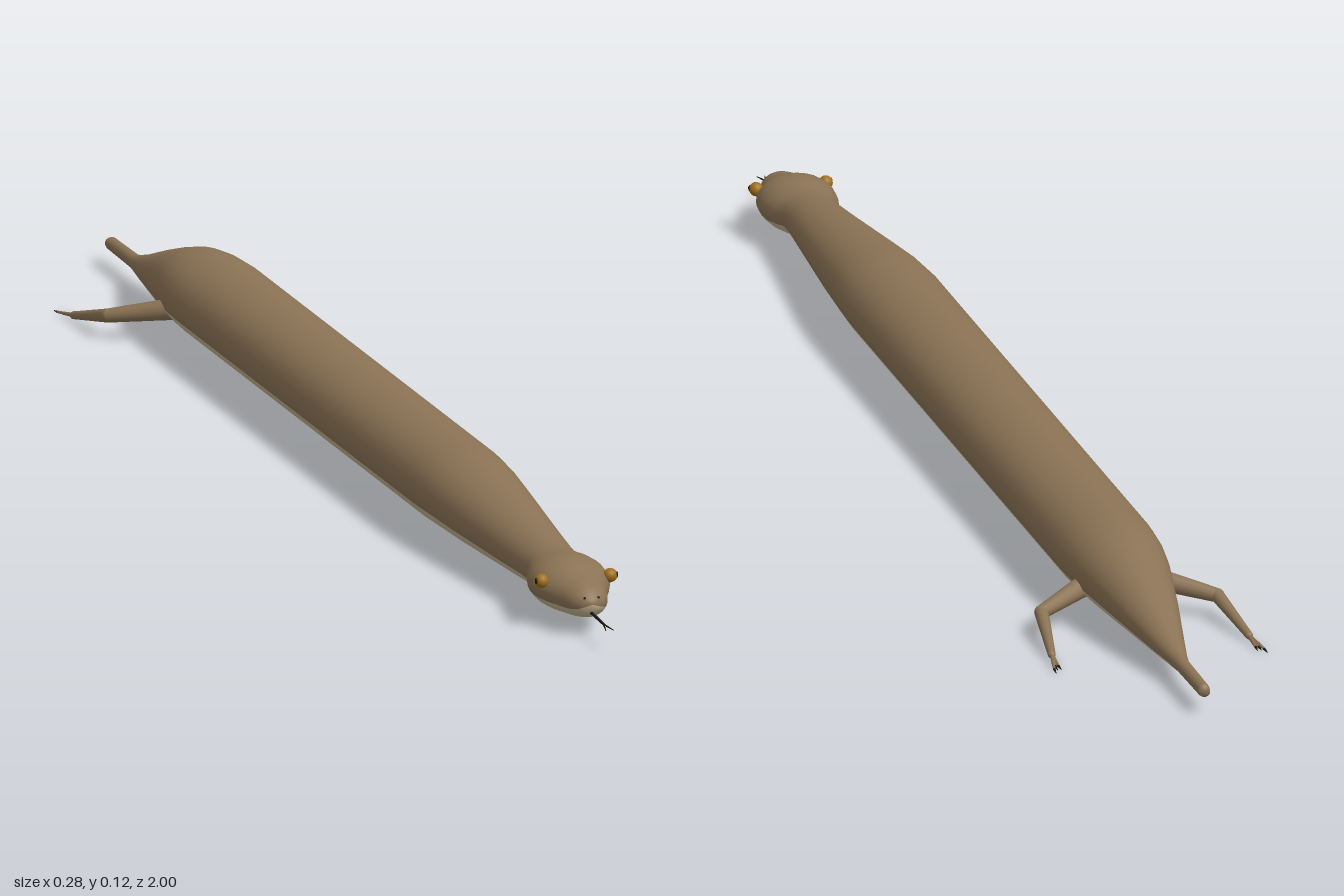
import * as THREE from 'three';

const mat = (name, color) => {
  const m = new THREE.MeshStandardMaterial({ color });
  m.name = name;
  return m;
};

// Elliptical cross-sections along z: [z, half width, bottom y, top y]
const SECTIONS = [
  [-1, 0, 0.031, 0.031], [-1, 0.007, 0.024, 0.038], [-0.995, 0.008, 0.023, 0.04],
  [-0.9, 0.009, 0.022, 0.041], [-0.88, 0.012, 0.021, 0.045], [-0.84, 0.02, 0.02, 0.056],
  [-0.8, 0.028, 0.019, 0.069], [-0.75, 0.038, 0.018, 0.085], [-0.7, 0.047, 0.016, 0.1],
  [-0.65, 0.056, 0.015, 0.113], [-0.61, 0.061, 0.014, 0.118], [-0.56, 0.064, 0.014, 0.12],
  [-0.2, 0.064, 0.014, 0.12], [0.1, 0.064, 0.014, 0.12], [0.4, 0.064, 0.014, 0.12],
  [0.46, 0.061, 0.015, 0.117], [0.53, 0.056, 0.016, 0.109], [0.61, 0.049, 0.018, 0.1],
  [0.69, 0.042, 0.02, 0.091], [0.75, 0.037, 0.022, 0.085], [0.78, 0.036, 0.022, 0.082],
  // head
  [0.795, 0.042, 0.02, 0.082], [0.815, 0.048, 0.017, 0.084], [0.835, 0.05, 0.016, 0.085],
  [0.855, 0.048, 0.017, 0.082], [0.87, 0.042, 0.018, 0.077], [0.885, 0.034, 0.019, 0.071],
  [0.9, 0.03, 0.021, 0.068], [0.915, 0.025, 0.024, 0.064], [0.925, 0.018, 0.03, 0.058],
  [0.93, 0.009, 0.037, 0.051], [0.931, 0, 0.044, 0.044],
];

// Skin the sections, with the underside as a second material group
function bodyGeometry() {
  const N = 32, pos = [], back = [], belly = [];
  for (const [z, w, y0, y1] of SECTIONS) {
    for (let j = 0; j < N; j++) {
      const a = (j / N) * Math.PI * 2;
      pos.push(w * Math.cos(a), (y0 + y1) / 2 + ((y1 - y0) / 2) * Math.sin(a), z);
    }
  }
  for (let i = 0; i < SECTIONS.length - 1; i++) {
    for (let j = 0; j < N; j++) {
      const k = (j + 1) % N;
      const a = i * N + j, b = i * N + k, c = a + N, d = b + N;
      const under = Math.sin(((j + 0.5) / N) * Math.PI * 2) < -0.42 && SECTIONS[i][0] > -0.89;
      (under ? belly : back).push(a, b, c, b, d, c);
    }
  }
  const g = new THREE.BufferGeometry();
  g.setAttribute('position', new THREE.Float32BufferAttribute(pos, 3));
  g.setIndex([...back, ...belly]);
  g.addGroup(0, back.length, 0);
  g.addGroup(back.length, belly.length, 1);
  g.computeVertexNormals();
  return g;
}

// Tapered rod between two points
function limb(name, p, q, r0, r1, material, sides = 12) {
  const a = new THREE.Vector3(...p), b = new THREE.Vector3(...q);
  const dir = b.clone().sub(a);
  const m = new THREE.Mesh(new THREE.CylinderGeometry(r1, r0, dir.length(), sides), material);
  m.position.copy(a).add(b).multiplyScalar(0.5);
  m.quaternion.setFromUnitVectors(new THREE.Vector3(0, 1, 0), dir.normalize());
  m.name = name;
  return m;
}

function ball(name, p, r, material) {
  const m = new THREE.Mesh(new THREE.SphereGeometry(r, 16, 12), material);
  m.position.set(...p);
  m.name = name;
  return m;
}

export function createModel() {
  const skin = mat('brown skin', 0x8b7355);
  const pale = mat('pale belly', 0xc2b48f);
  const amber = mat('amber eye', 0xa06f1c);
  const dark = mat('dark', 0x1c1814);

  const model = new THREE.Group();
  model.name = 'leggedSnake';

  const body = new THREE.Mesh(bodyGeometry(), [skin, pale]);
  body.name = 'body';
  model.add(body);

  for (const s of [1, -1]) {
    const side = s > 0 ? 'left' : 'right';

    // hind leg
    const leg = new THREE.Group();
    leg.name = side + 'HindLeg';
    const hip = [s * 0.045, 0.045, -0.615], knee = [s * 0.114, 0.031, -0.66], ankle = [s * 0.128, 0.009, -0.755];
    leg.add(
      limb('thigh', hip, knee, 0.014, 0.009, skin),
      ball('knee', knee, 0.009, skin),
      limb('shin', knee, ankle, 0.009, 0.005, skin),
      ball('ankle', ankle, 0.005, skin),
    );
    for (const t of [-1, 0, 1]) {
      const tip = [s * (0.132 + t * 0.004), 0.004, -0.785 - (t > 0 ? 0.01 : 0)];
      leg.add(limb('toe', ankle, tip, 0.003, 0.0018, skin, 6));
      leg.add(limb('claw', tip, [tip[0] + s * t * 0.001, 0.003, tip[2] - 0.012], 0.0018, 0.0003, dark, 6));
    }
    model.add(leg);

    // eye with pupil
    model.add(ball(side + 'Eye', [s * 0.045, 0.062, 0.864], 0.009, amber));
    const pupil = ball(side + 'Pupil', [s * 0.0525, 0.063, 0.867], 0.004, dark);
    pupil.scale.set(0.5, 1, 0.6);
    model.add(pupil);

    // nostril and tongue fork
    model.add(ball(side + 'Nostril', [s * 0.009, 0.052, 0.927], 0.0018, dark));
    model.add(limb(side + 'TongueFork', [0, 0.03, 0.975], [s * 0.005, 0.028, 1], 0.0014, 0.0005, dark, 6));
  }

  // tongue
  model.add(limb('tongue', [0, 0.034, 0.9], [0, 0.03, 0.976], 0.0022, 0.0016, dark, 8));
  return model;
}
